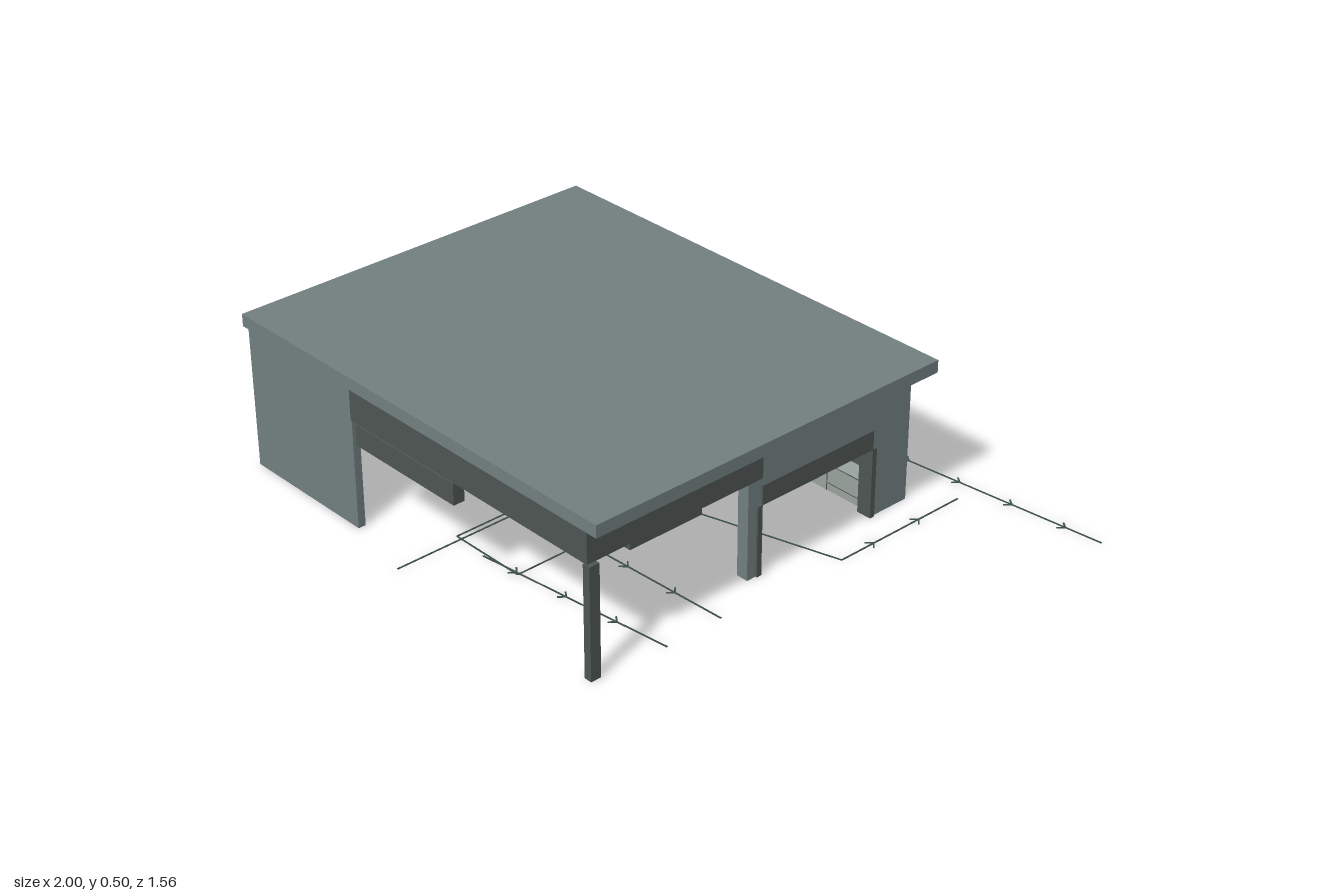
import * as THREE from 'three';

function material(name, color) {
  const m = new THREE.MeshStandardMaterial({ color });
  m.name = name;
  return m;
}

export function createModel() {
  const model = new THREE.Group();
  model.name = 'openPavilion';
  const wall = material('slate grey', 0x738080);
  const dark = material('dark grey', 0x4e5653);
  const pale = material('pale grey', 0x9aa59f);
  const line = material('path green', 0x3d4f4a);

  // Box given by its limits on each axis
  function box(name, mat, x0, x1, y0, y1, z0, z1, parent = model) {
    const mesh = new THREE.Mesh(new THREE.BoxGeometry(x1 - x0, y1 - y0, z1 - z0), mat);
    mesh.position.set((x0 + x1) / 2, (y0 + y1) / 2, (z0 + z1) / 2);
    mesh.name = name;
    parent.add(mesh);
    return mesh;
  }

  // Wall with a doorway cut from its foot; u runs along the wall, depth along local z
  function doorWall(name, u0, u1, d0, d1, doorTop, height, depth) {
    const s = new THREE.Shape([
      [u0, 0], [d0, 0], [d0, doorTop], [d1, doorTop], [d1, 0], [u1, 0], [u1, height], [u0, height],
    ].map(([x, y]) => new THREE.Vector2(x, y)));
    const mesh = new THREE.Mesh(new THREE.ExtrudeGeometry(s, { depth, bevelEnabled: false }), wall);
    mesh.name = name;
    model.add(mesh);
    return mesh;
  }

  // Roof
  box('roof', wall, -1, 0.55, 0.46, 0.5, -0.545, 0.735);

  // Walls
  box('leftWall', wall, -0.98, -0.96, 0, 0.46, -0.543, 0.73);
  box('frontWall', wall, -0.96, -0.495, 0, 0.46, 0.705, 0.73);
  const back = doorWall('backWall', -0.96, 0.455, -0.405, 0.04, 0.29, 0.46, 0.03);
  back.position.z = -0.543;
  const side = doorWall('rightWall', -0.1, 0.513, -0.05, 0.39, 0.29, 0.46, 0.04);
  side.rotation.y = Math.PI / 2;
  side.position.x = 0.415;

  // Door frames: jambs and header
  box('backDoorHeader', dark, -0.405, 0.04, 0.23, 0.29, -0.549, -0.5);
  for (const x of [-0.42, 0.033]) box('backDoorJamb', dark, x, x + 0.017, 0, 0.23, -0.549, -0.5);
  box('sideDoorHeader', dark, 0.41, 0.461, 0.23, 0.293, -0.39, 0.05);
  for (const z of [-0.405, 0.05]) box('sideDoorJamb', dark, 0.41, 0.461, 0, 0.23, z, z + 0.017);

  // Porch beams, corner post and hanging panels
  box('frontBeam', dark, -0.495, 0.51, 0.36, 0.46, 0.7, 0.733);
  box('sideBeam', dark, 0.46, 0.51, 0.36, 0.46, 0.1, 0.7);
  box('cornerPost', dark, 0.498, 0.524, 0, 0.36, 0.702, 0.737);
  box('frontPanel', dark, -0.467, -0.033, 0.292, 0.36, 0.7, 0.738);
  box('sidePanel', dark, 0.415, 0.46, 0.297, 0.356, 0.28, 0.54);
  box('panelBracket', dark, 0.43, 0.47, 0.356, 0.365, 0.32, 0.5);

  // Tall cabinet with three doors facing the side doorway
  const cabinet = new THREE.Group();
  cabinet.name = 'tallCabinet';
  model.add(cabinet);
  box('cabinetBody', pale, -0.56, -0.468, 0, 0.165, -0.28, 0.035, cabinet);
  for (const z of [-0.215, -0.09]) box('doorGap', dark, -0.469, -0.466, 0.01, 0.16, z - 0.0015, z + 0.0015, cabinet);
  for (const z of [-0.19, -0.065]) box('doorHandle', dark, -0.468, -0.462, 0.087, 0.091, z - 0.012, z + 0.012, cabinet);

  // Low cabinets along the back wall
  box('lowCabinet', pale, -0.89, -0.58, 0, 0.12, -0.43, -0.37);
  box('backCabinet', pale, -0.5, -0.422, 0, 0.09, -0.5, -0.375);
  box('backCabinetUpstand', pale, -0.5, -0.422, 0.09, 0.122, -0.513, -0.48);
  box('backCabinetTop', dark, -0.5, -0.422, 0.086, 0.092, -0.5, -0.374);

  // Long bench on the back wall with a dark backrest
  box('bench', pale, 0.052, 0.413, 0, 0.09, -0.512, -0.41);
  box('benchUpstand', pale, 0.052, 0.413, 0.09, 0.125, -0.512, -0.495);
  box('benchBackrest', dark, 0.1, 0.36, 0.09, 0.155, -0.494, -0.47);
  for (const y of [0.025, 0.088]) box('benchRail', dark, 0.265, 0.41, y, y + 0.002, -0.411, -0.4085);
  box('benchGap', dark, 0.264, 0.266, 0, 0.09, -0.411, -0.4085);

  // Ground paths: thin strips with optional direction arrows
  const paths = new THREE.Group();
  paths.name = 'groundPaths';
  model.add(paths);
  function strip(x0, z0, x1, z1) {
    const length = Math.hypot(x1 - x0, z1 - z0);
    const m = new THREE.Mesh(new THREE.BoxGeometry(length, 0.002, 0.005), line);
    m.position.set((x0 + x1) / 2, 0.001, (z0 + z1) / 2);
    m.rotation.y = -Math.atan2(z1 - z0, x1 - x0);
    m.name = 'pathStrip';
    paths.add(m);
  }
  function path(points, spacing) {
    for (let i = 1; i < points.length; i++) {
      const [x0, z0] = points[i - 1], [x1, z1] = points[i];
      strip(x0, z0, x1, z1);
      if (!spacing) continue;
      const a = Math.atan2(z1 - z0, x1 - x0), length = Math.hypot(x1 - x0, z1 - z0);
      for (let d = spacing * 0.7; d < length; d += spacing) {
        const px = x0 + Math.cos(a) * d, pz = z0 + Math.sin(a) * d;
        for (const s of [-1, 1]) {
          const b = a + Math.PI + s * 0.75;
          strip(px, pz, px + Math.cos(b) * 0.026, pz + Math.sin(b) * 0.026);
        }
      }
    }
  }
  path([[-0.185, -0.54], [-0.185, -0.655]]);
  path([[-0.185, -0.655], [0.998, -0.778]], 0.187);
  path([[0.56, -0.17], [0.56, -0.655]], 0.187);
  path([[0.56, -0.17], [0.06, -0.03], [-0.2, 0.24]]);
  path([[-0.25, 0.78], [-0.25, 0.25]]);
  path([[-0.27, 0.29], [0, 0.29], [0, 0.55], [-0.27, 0.55], [-0.27, 0.29]]);
  path([[-0.14, 0.31], [0.54, 0.28]], 0.187);
  path([[-0.14, 0.56], [0.54, 0.48]], 0.187);

  return model;
}
